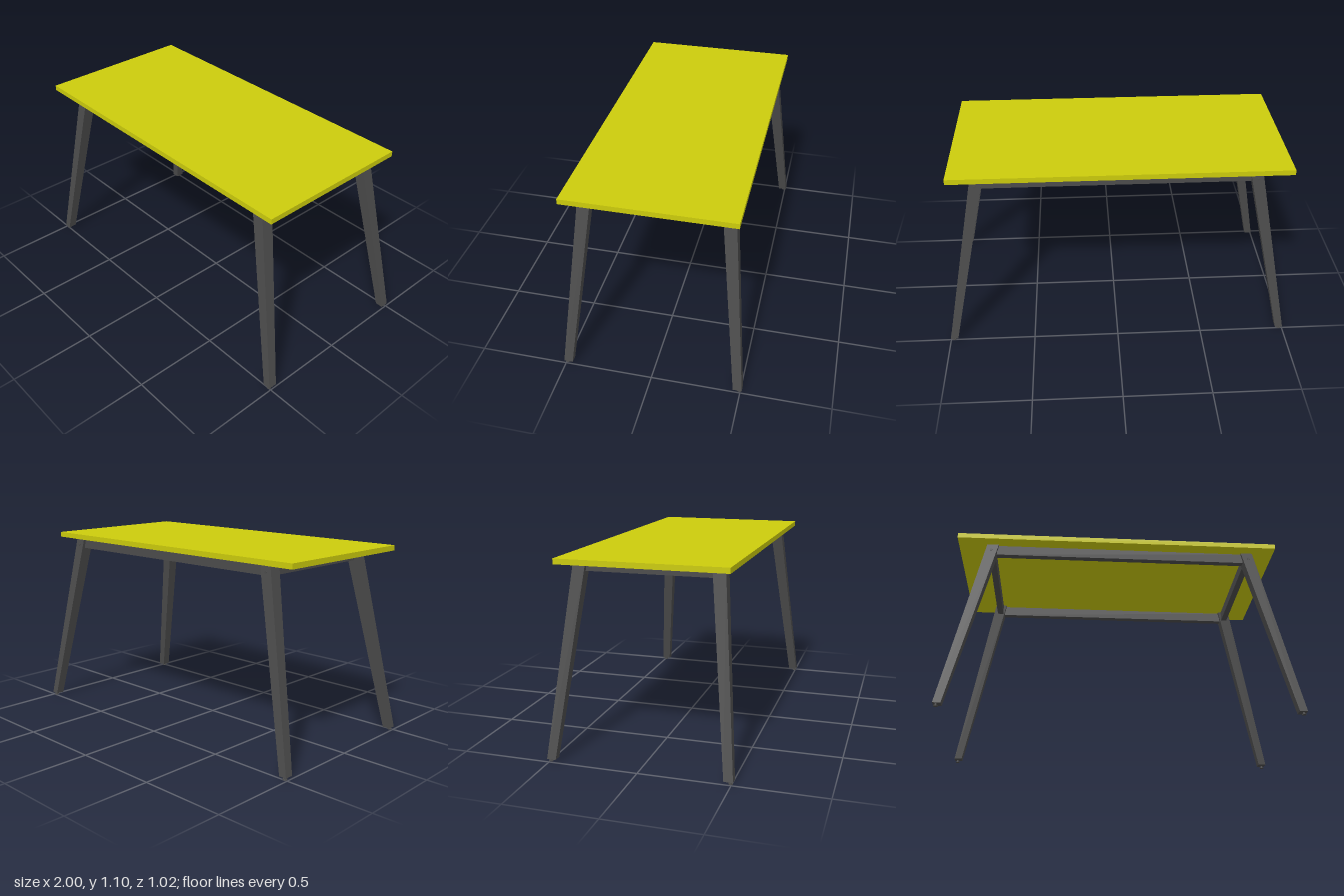
import * as THREE from 'three';

export function createModel() {
  const model = new THREE.Group();
  model.name = 'table';
  const yellow = new THREE.MeshStandardMaterial({ color: 0xcccc0c });
  const dark = new THREE.MeshStandardMaterial({ color: 0x4c4c4c });

  const add = (name, geometry, material, x, y, z) => {
    const mesh = new THREE.Mesh(geometry, material);
    mesh.name = name;
    mesh.position.set(x, y, z);
    model.add(mesh);
    return mesh;
  };

  // Table top, slightly off centre over the frame
  add('tableTop', new THREE.BoxGeometry(1.88, 0.03, 0.922), yellow, -0.02, 1.08, 0.014);

  // Splayed leg, tapering from top to foot: [centre x, centre z, width, depth]
  const legTop = [0.759, 0.376, 0.068, 0.07];
  const legFoot = [0.978, 0.485, 0.044, 0.05];
  const legGeometry = (sx, sz) => {
    const geometry = new THREE.BoxGeometry(1, 1, 1);
    const p = geometry.attributes.position;
    for (let i = 0; i < p.count; i++) {
      const upper = p.getY(i) > 0;
      const [cx, cz, w, d] = upper ? legTop : legFoot;
      p.setXYZ(i, sx * cx + p.getX(i) * w, upper ? 1.065 : 0.016, sz * cz + p.getZ(i) * d);
    }
    geometry.computeVertexNormals();
    return geometry;
  };

  for (const sx of [-1, 1]) {
    for (const sz of [-1, 1]) {
      add('leg', legGeometry(sx, sz), dark, 0, 0, 0);
      // Levelling foot: stem and pad
      add('footStem', new THREE.CylinderGeometry(0.006, 0.006, 0.018, 12), dark, sx * 0.982, 0.011, sz * 0.494);
      add('footPad', new THREE.CylinderGeometry(0.012, 0.012, 0.005, 16), dark, sx * 0.982, 0.0025, sz * 0.494);
      // Bolt head on the outer face of the leg
      const bolt = add('bolt', new THREE.CylinderGeometry(0.007, 0.007, 0.008, 12), dark, sx * 0.768, 1.026, sz * 0.415);
      bolt.rotation.x = Math.PI / 2;
    }
    // Rails joining the leg tops
    add('longRail', new THREE.BoxGeometry(1.47, 0.06, 0.036), dark, 0, 1.035, sx * 0.38);
    add('shortRail', new THREE.BoxGeometry(0.036, 0.06, 0.7), dark, sx * 0.762, 1.035, 0);
  }
  return model;
}
